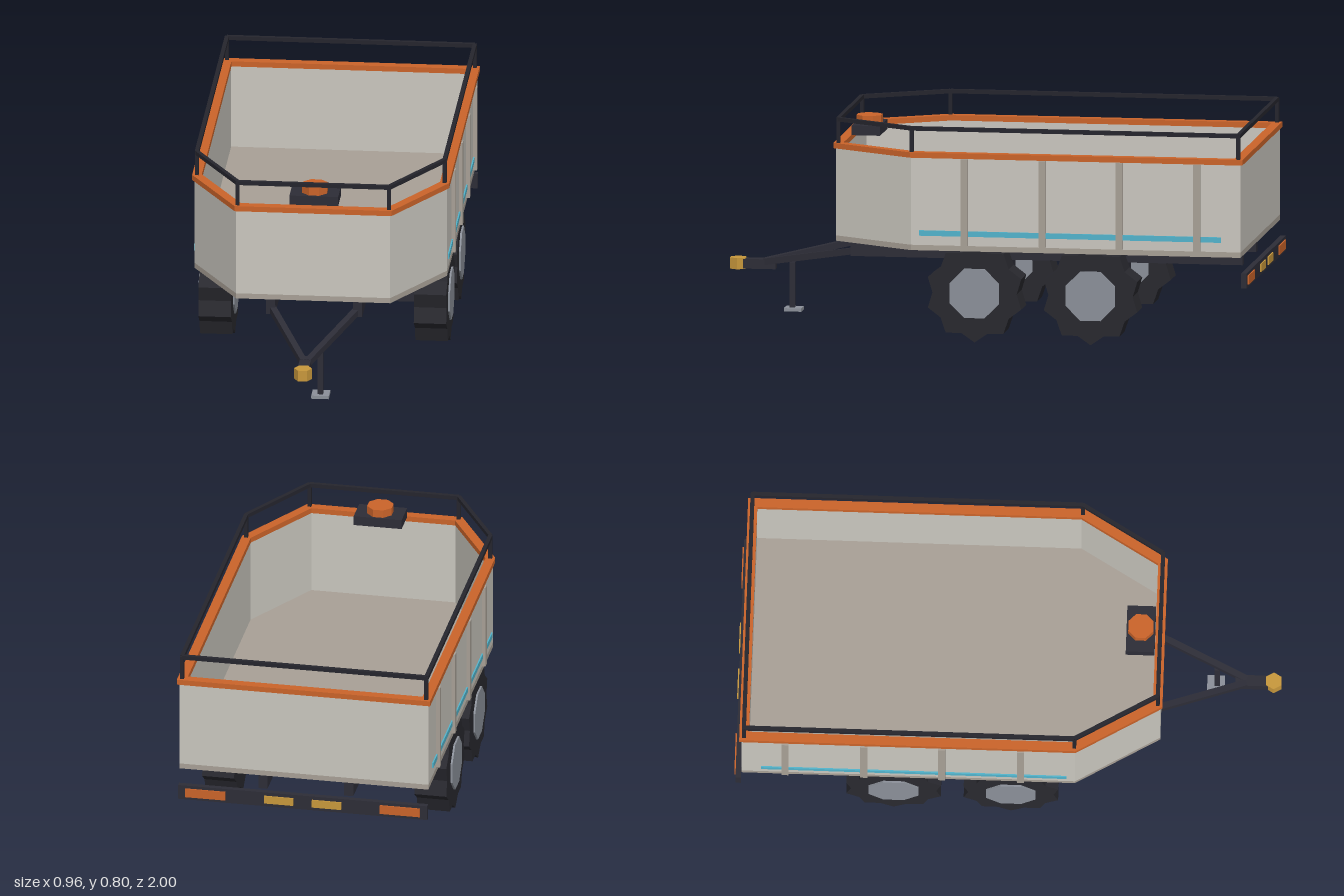
import * as THREE from 'three';

const mat = (name, color) => Object.assign(new THREE.MeshStandardMaterial({ color }), { name });

export function createModel() {
  const root = new THREE.Group();
  root.name = 'trailer';
  const wall = mat('pale grey panel', 0xcac7bf);
  const floorMat = mat('warm grey', 0xa8a096);
  const orange = mat('orange', 0xcb642a);
  const frame = mat('dark frame', 0x2d2d37);
  const rubber = mat('rubber', 0x29292f);
  const railMat = mat('black rail', 0x25252d);
  const blue = mat('blue stripe', 0x52b4cc);
  const gold = mat('gold', 0xc8983c);
  const steel = mat('steel', 0x8b9099);

  const add = (name, geo, m, x = 0, y = 0, z = 0, parent = root) => {
    const mesh = new THREE.Mesh(geo, m);
    mesh.name = name;
    mesh.position.set(x, y, z);
    parent.add(mesh);
    return mesh;
  };
  const box = (name, m, w, h, d, x, y, z) => add(name, new THREE.BoxGeometry(w, h, d), m, x, y, z);
  const beam = (name, m, a, b, w, h = w) => {
    const A = new THREE.Vector3(...a), B = new THREE.Vector3(...b);
    const mesh = box(name, m, w, h, A.distanceTo(B), ...A.clone().lerp(B, 0.5).toArray());
    mesh.lookAt(B);
    return mesh;
  };

  // Tapered body outline, inset evenly by d, as [x, z] points
  const outline = (d) => {
    const half = [[0.285 - 0.57 * d, 0.563 - d], [0.467 - d, 0.255 - 0.274 * d], [0.467 - d, -0.973 + d]];
    return [...half, ...half.slice().reverse().map(([x, z]) => [-x, z])];
  };
  const vectors = (d) => outline(d).map(([x, z]) => new THREE.Vector2(x, -z));
  const slab = (name, m, outer, inner, y0, y1) => {
    const shape = new THREE.Shape(vectors(outer));
    if (inner !== null) shape.holes.push(new THREE.Path(vectors(inner)));
    const geo = new THREE.ExtrudeGeometry(shape, { depth: y1 - y0, bevelEnabled: false });
    geo.rotateX(-Math.PI / 2);
    add(name, geo, m, 0, y0, 0);
  };

  // Tub
  slab('floor', floorMat, 0, null, 0.34, 0.36);
  slab('floorLining', floorMat, 0.02, null, 0.36, 0.37);
  slab('walls', wall, 0, 0.026, 0.36, 0.685);
  slab('topTrim', orange, -0.008, 0.027, 0.685, 0.705);

  // Guard rail and its posts
  const railPts = outline(0.009);
  railPts.forEach(([x, z], i) => {
    const [nx, nz] = railPts[(i + 1) % railPts.length];
    beam('guardRail', railMat, [x, 0.792, z], [nx, 0.792, nz], 0.015);
    box('railPost', railMat, 0.014, 0.095, 0.014, x, 0.7475, z);
  });

  // Side ribs and stripes
  for (const s of [-1, 1]) {
    for (const z of [0.055, -0.235, -0.522, -0.812])
      box('sideRib', floorMat, 0.016, 0.322, 0.026, s * 0.473, 0.523, z);
    box('sideStripe', blue, 0.008, 0.02, 1.125, s * 0.468, 0.405, -0.338);
  }

  // Beacon
  box('beaconBase', frame, 0.18, 0.036, 0.106, 0, 0.722, 0.482);
  add('beacon', new THREE.CylinderGeometry(0.05, 0.05, 0.03, 8).rotateY(Math.PI / 8).toNonIndexed(), orange, 0, 0.755, 0.482)
    .geometry.computeVertexNormals();

  // Chassis rails and drawbar arms
  for (const s of [-1, 1]) {
    box('chassisRail', frame, 0.034, 0.072, 1.46, s * 0.161, 0.304, -0.205);
    beam('drawbarArm', frame, [s * 0.16, 0.287, 0.5], [s * 0.008, 0.213, 0.87], 0.024);
  }
  box('drawbarTongue', frame, 0.042, 0.036, 0.13, 0, 0.205, 0.895);
  const hex = new THREE.CylinderGeometry(0.033, 0.033, 0.042, 6).rotateY(Math.PI / 6).toNonIndexed();
  hex.computeVertexNormals();
  add('hitchCoupler', hex, gold, 0, 0.206, 0.971);

  // Parking jack
  box('jackLeg', frame, 0.02, 0.17, 0.02, 0.046, 0.135, 0.762);
  box('jackFoot', steel, 0.065, 0.012, 0.065, 0.046, 0.046, 0.757);

  // Axles and lugged wheels
  const tyreShape = new THREE.Shape();
  for (let i = 0; i < 20; i++) {
    const r = i % 2 ? 0.157 : 0.183, a = -Math.PI / 2 + i * Math.PI / 10;
    tyreShape[i ? 'lineTo' : 'moveTo'](r * Math.cos(a), r * Math.sin(a));
  }
  tyreShape.closePath();
  const tyre = new THREE.ExtrudeGeometry(tyreShape, { depth: 0.12, bevelEnabled: false });
  tyre.translate(0, 0, -0.06).rotateY(Math.PI / 2);
  const hub = new THREE.CylinderGeometry(0.099, 0.099, 0.134, 8).rotateY(Math.PI / 8).rotateZ(Math.PI / 2).toNonIndexed();
  hub.computeVertexNormals();
  for (const z of [0.019, -0.413]) {
    box('axle', frame, 0.7, 0.055, 0.055, 0, 0.183, z);
    for (const s of [-1, 1]) {
      box('axleHanger', frame, 0.034, 0.08, 0.06, s * 0.161, 0.238, z);
      const wheel = new THREE.Group();
      wheel.name = 'wheel';
      wheel.position.set(s * 0.398, 0.183, z);
      root.add(wheel);
      add('tyre', tyre, rubber, 0, 0, 0, wheel);
      add('hub', hub, steel, 0, 0, 0, wheel);
    }
  }

  // Rear light bar
  box('lightBar', frame, 0.934, 0.056, 0.02, 0, 0.254, -0.985);
  for (const s of [-1, 1]) {
    box('tailLight', orange, 0.15, 0.034, 0.006, s * 0.365, 0.254, -0.997);
    box('markerLight', gold, 0.11, 0.03, 0.006, s * 0.09, 0.254, -0.997);
  }
  return root;
}
